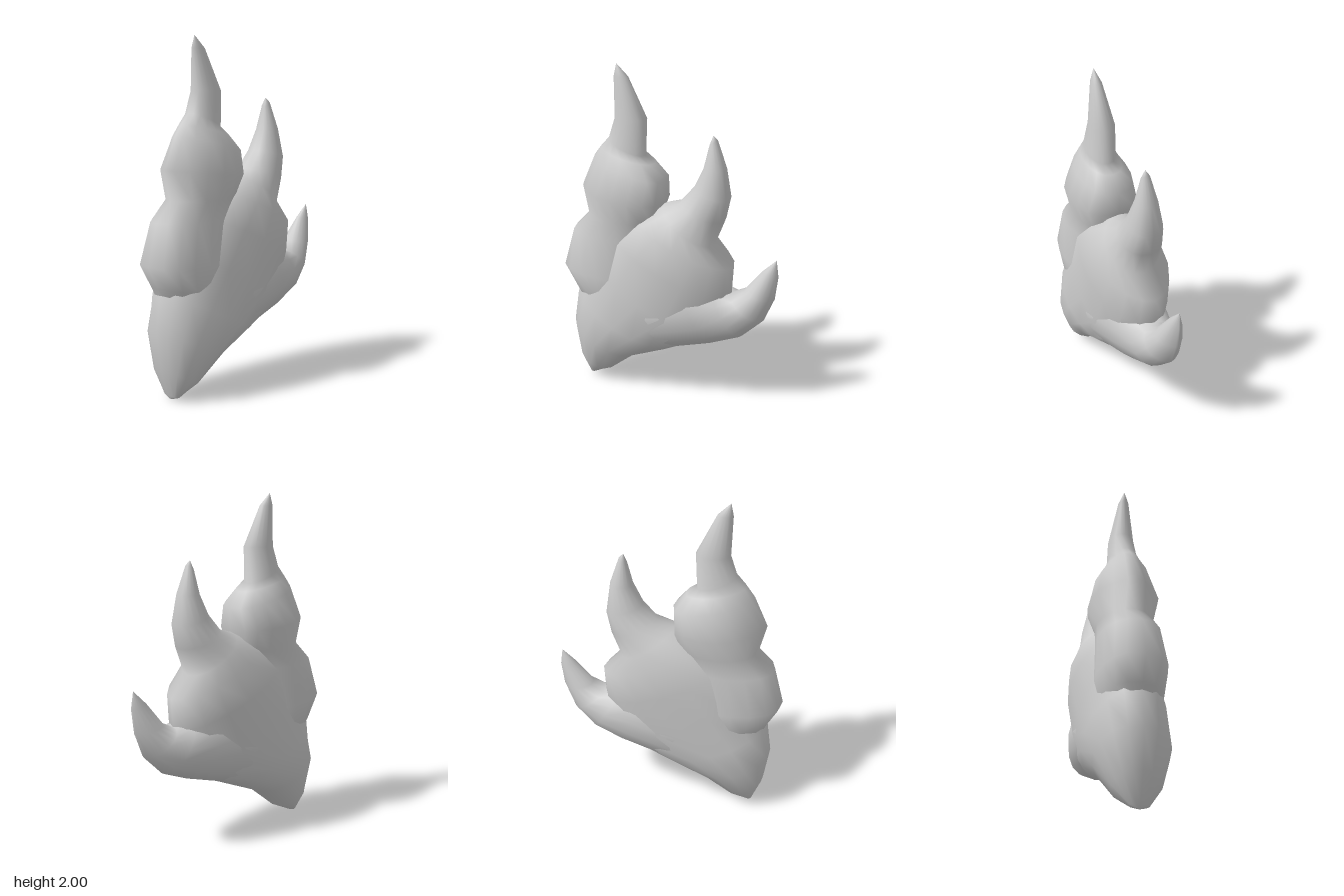
import * as THREE from 'three';

const SIDES = 16;

// Skin of rounded rings. Each ring: [z1, y1, z2, y2, halfWidth, e1, e2], where
// the two points are opposite rim points on the middle plane x = 0. e1 and e2
// shape the halves next to them: 1 is elliptical, less is blunt, more is sharp.
function loft(name, rings, material) {
  const positions = [], index = [];
  for (const [z1, y1, z2, y2, w, e1 = 1, e2 = 1] of rings) {
    for (let j = 0; j < SIDES; j++) {
      const t = (j / SIDES) * Math.PI * 2;
      const c = Math.cos(t), s = Math.sin(t);
      positions.push(
        w * Math.sign(s) * Math.pow(Math.abs(s), c > 0 ? e1 : e2),
        (y1 + y2) / 2 + ((y1 - y2) / 2) * c,
        (z1 + z2) / 2 + ((z1 - z2) / 2) * c
      );
    }
  }
  for (let i = 0; i < rings.length - 1; i++) {
    for (let j = 0; j < SIDES; j++) {
      const k = (j + 1) % SIDES;
      const a = i * SIDES + j, b = i * SIDES + k;
      index.push(a, b, a + SIDES, b, b + SIDES, a + SIDES);
    }
  }
  const geometry = new THREE.BufferGeometry();
  geometry.setAttribute('position', new THREE.Float32BufferAttribute(positions, 3));
  geometry.setIndex(index);
  geometry.computeVertexNormals();
  const mesh = new THREE.Mesh(geometry, material);
  mesh.name = name;
  return mesh;
}

export function createModel() {
  const group = new THREE.Group();
  group.name = 'flame';
  const material = new THREE.MeshStandardMaterial({ color: 0xcccccc });

  // Main body, rising from the pointed foot into the middle tongue
  group.add(loft('bodyAndMiddleTongue', [
    [0.52, 0, 0.52, 0, 0],
    [0.535, 0.025, 0.49, 0.012, 0.055],
    [0.59, 0.18, 0.37, 0.07, 0.135],
    [0.62, 0.4, 0.2, 0.21, 0.205, 1, 0.9],
    [0.59, 0.61, -0.03, 0.31, 0.222, 0.95, 0.8],
    [0.5, 0.86, -0.28, 0.42, 0.215, 1, 0.9],
    [0.37, 1.03, -0.39, 0.7, 0.225, 1, 1.1],
    [0.2, 1.15, -0.4, 0.89, 0.205, 1, 1.1],
    [0.03, 1.22, -0.28, 1.01, 0.16],
    [-0.07, 1.25, -0.34, 1.17, 0.125, 1, 0.9],
    [-0.155, 1.35, -0.365, 1.3, 0.1, 1, 0.8],
    [-0.21, 1.47, -0.34, 1.47, 0.065],
    [-0.24, 1.6, -0.285, 1.63, 0.025],
    [-0.26, 1.655, -0.26, 1.655, 0],
  ], material));

  // Front column: lower bulge, waist, upper bulb and tall tongue
  group.add(loft('frontTongue', [
    [0.5, 0.4, 0.3, 0.4, 0],
    [0.575, 0.56, 0.2, 0.5, 0.13],
    [0.605, 0.64, 0.15, 0.6, 0.175, 0.9],
    [0.67, 0.77, 0.1, 0.74, 0.188, 0.7],
    [0.61, 1.0, 0.1, 1.0, 0.17, 0.9],
    [0.51, 1.11, 0.06, 1.11, 0.155, 1.1, 0.8],
    [0.55, 1.28, 0.025, 1.23, 0.195, 1.45, 0.6],
    [0.47, 1.46, 0.02, 1.36, 0.155, 1.4, 0.7],
    [0.425, 1.52, 0.09, 1.45, 0.105, 1.2, 0.8],
    [0.37, 1.58, 0.15, 1.49, 0.088],
    [0.33, 1.7, 0.14, 1.7, 0.072],
    [0.335, 1.93, 0.25, 1.93, 0.03],
    [0.32, 2.0, 0.32, 2.0, 0],
  ], material));

  // Rear tongue, sweeping back along the underside and curling up
  group.add(loft('rearTongue', [
    [0.48, 0.25, 0.46, 0.15, 0],
    [0.35, 0.6, 0.2, 0.23, 0.17],
    [0.15, 0.8, -0.03, 0.32, 0.21, 1, 0.8],
    [-0.1, 0.85, -0.3, 0.4, 0.188, 1, 0.9],
    [-0.28, 0.78, -0.47, 0.47, 0.142],
    [-0.39, 0.73, -0.59, 0.59, 0.108, 0.9, 1.4],
    [-0.47, 0.77, -0.65, 0.74, 0.075, 0.9, 2],
    [-0.57, 0.9, -0.665, 0.88, 0.033, 1, 1.5],
    [-0.65, 0.98, -0.65, 0.98, 0],
  ], material));

  return group;
}
